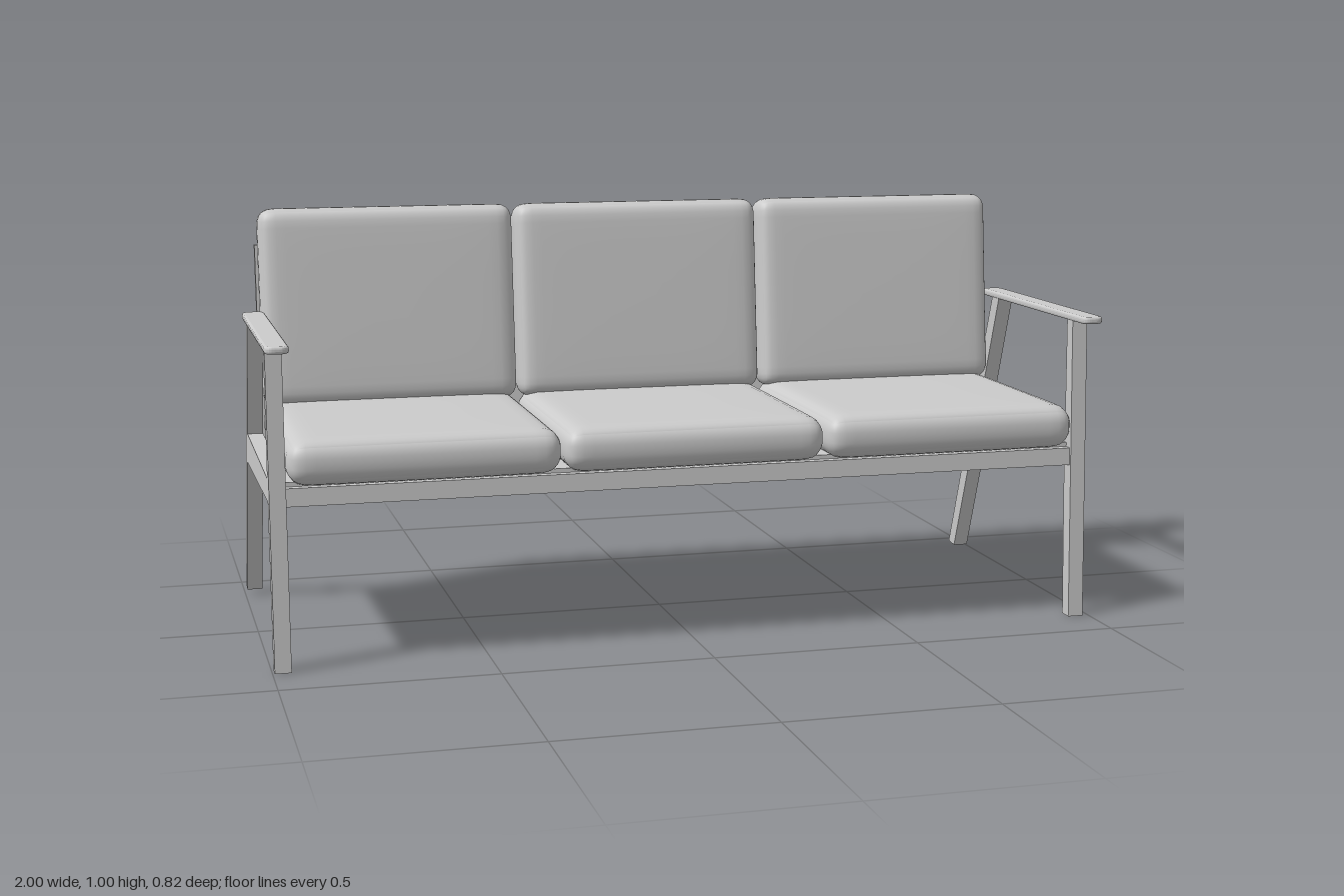
import * as THREE from 'three';
import { mergeVertices } from 'three/addons/utils/BufferGeometryUtils.js';

const material = new THREE.MeshStandardMaterial({ color: 0xcccccc });

function addMesh(parent, name, geometry) {
  const mesh = new THREE.Mesh(geometry, material);
  mesh.name = name;
  parent.add(mesh);
  return mesh;
}

// Extrudes a side profile of [z, y] points across x0..x1
function sideProfile(points, x0, x1) {
  const shape = new THREE.Shape(points.map(([z, y]) => new THREE.Vector2(z, y)));
  const geo = new THREE.ExtrudeGeometry(shape, { depth: x1 - x0, bevelEnabled: false });
  return geo.rotateY(-Math.PI / 2).translate(x1, 0, 0);
}

// Soft cushion: rounded box with slightly crowned broad faces (thin along y)
function cushionGeometry(w, h, d, radius, crown) {
  let geo = new THREE.BoxGeometry(2, 2, 2, 24, 12, 24);
  geo.deleteAttribute('normal');
  geo.deleteAttribute('uv');
  geo = mergeVertices(geo);
  const half = new THREE.Vector3(w / 2, h / 2 - crown, d / 2);
  const inner = half.clone().subScalar(radius);
  const pos = geo.attributes.position;
  const p = new THREE.Vector3(), core = new THREE.Vector3();
  for (let i = 0; i < pos.count; i++) {
    p.fromBufferAttribute(pos, i);
    // crowd the rows towards the edges
    p.set(...p.toArray().map((t) => Math.sin((t * Math.PI) / 2)));
    const puff = crown * Math.sqrt(Math.max(0, (1 - p.x ** 4) * (1 - p.z ** 4))) * p.y;
    p.multiply(half);
    core.copy(p).clamp(inner.clone().negate(), inner);
    p.sub(core).normalize().multiplyScalar(radius).add(core);
    pos.setXYZ(i, p.x, p.y + puff, p.z);
  }
  geo.computeVertexNormals();
  return geo;
}

// Flat armrest with rounded ends and softened edges
function armrestGeometry() {
  const b = 0.006, w = 0.0275 - b, front = 0.41 - b, back = -0.22 + b, r = 0.016;
  const s = new THREE.Shape();
  s.moveTo(-w + r, back);
  s.lineTo(w - r, back);
  s.quadraticCurveTo(w, back, w, back + r);
  s.lineTo(w, front - r);
  s.quadraticCurveTo(w, front, w - r, front);
  s.lineTo(-w + r, front);
  s.quadraticCurveTo(-w, front, -w, front - r);
  s.lineTo(-w, back + r);
  s.quadraticCurveTo(-w, back, -w + r, back);
  const geo = new THREE.ExtrudeGeometry(s, {
    depth: 0.005, bevelThickness: b, bevelSize: b, bevelSegments: 3, curveSegments: 6,
  });
  return geo.rotateX(Math.PI / 2).translate(0, 0.743, 0);
}

export function createModel() {
  const sofa = new THREE.Group();
  sofa.name = 'sofa';

  // Side frames: front leg, side rail and splayed back leg in one outline
  const outline = [
    [0.372, 0], [0.345, 0.735], [0.314, 0.735], [0.32, 0.44], [-0.208, 0.447],
    [-0.104, 0.735], [-0.146, 0.735], [-0.262, 0.425], [-0.28, 0.37],
    [-0.408, 0.017], [-0.37, 0.012], [-0.236, 0.371], [0.32, 0.386], [0.337, 0],
  ];
  const sides = [
    { name: 'right', x0: -0.995, x1: -0.957, arm: -0.9725 },
    { name: 'left', x0: 0.947, x1: 0.985, arm: 0.9725 },
  ];
  for (const side of sides) {
    addMesh(sofa, side.name + 'SideFrame', sideProfile(outline, side.x0, side.x1));
    addMesh(sofa, side.name + 'Armrest', armrestGeometry()).position.x = side.arm;
  }

  // Seat base and front rail between the side frames
  const x0 = -0.958, x1 = 0.948;
  addMesh(sofa, 'seatBase', sideProfile(
    [[0.33, 0.4], [0.33, 0.43], [-0.25, 0.43], [-0.25, 0.385]], x0, x1));
  addMesh(sofa, 'frontRail', sideProfile(
    [[0.325, 0.378], [0.352, 0.378], [0.35, 0.42], [0.325, 0.42]], x0, x1));

  // Leaning back panel
  addMesh(sofa, 'backPanel', sideProfile(
    [[-0.237, 0.38], [-0.285, 0.905], [-0.305, 0.905], [-0.257, 0.38]], x0, x1));

  // Three seat cushions and three back cushions
  const seat = cushionGeometry(0.63, 0.112, 0.615, 0.042, 0.006);
  const back = cushionGeometry(0.63, 0.112, 0.487, 0.036, 0.006);
  for (let i = -1; i <= 1; i++) {
    const x = -0.003 + i * 0.636;
    addMesh(sofa, 'seatCushion', seat).position.set(x, 0.475, 0.067);
    const cushion = addMesh(sofa, 'backCushion', back);
    cushion.position.set(x, 0.755, -0.225);
    cushion.rotation.x = Math.PI / 2 - 0.105;
  }
  return sofa;
}
